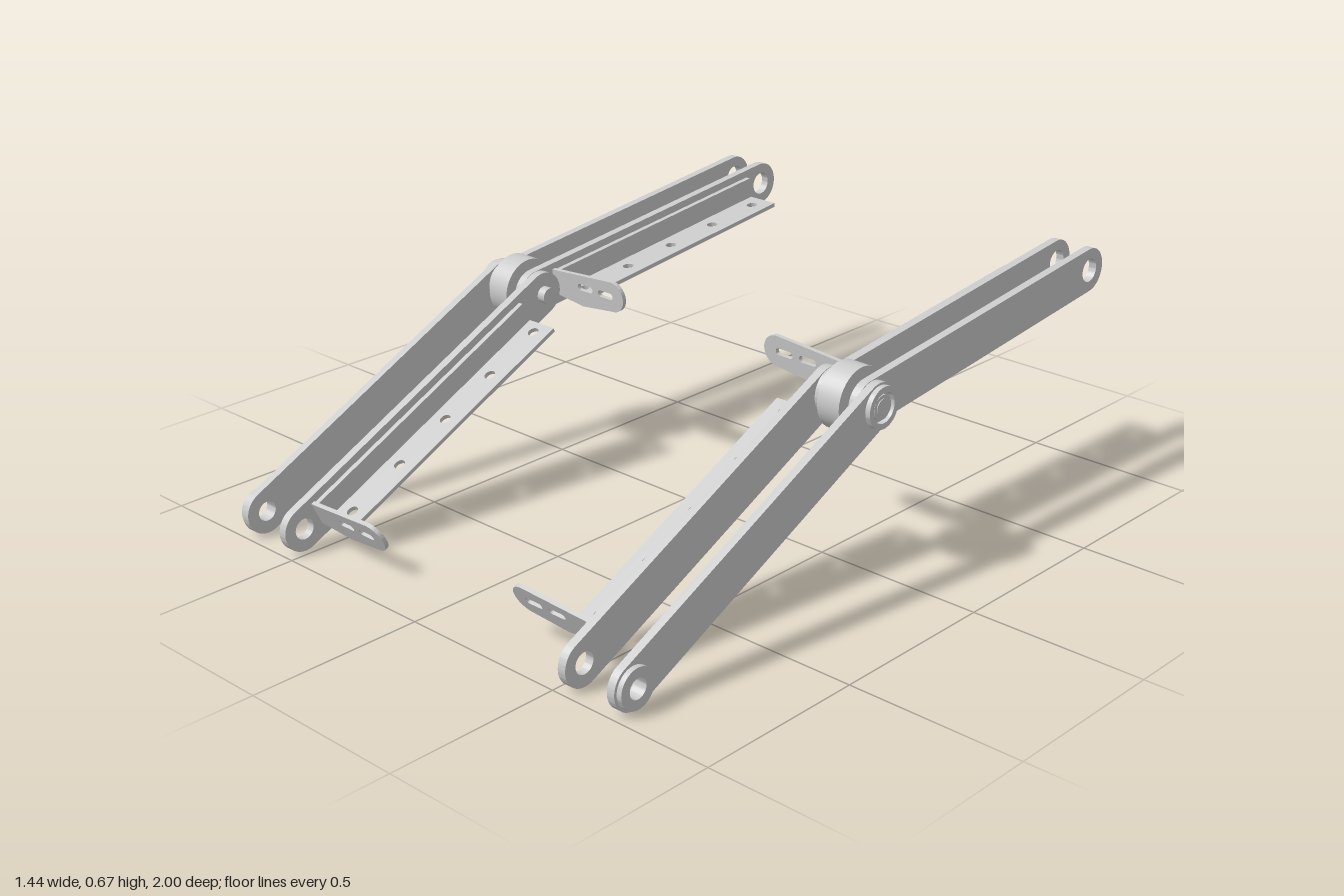
import * as THREE from 'three';
import { toCreasedNormals } from 'three/addons/utils/BufferGeometryUtils.js';

const material = new THREE.MeshStandardMaterial({ color: 0xcccccc });
const KNEE = { y: 0.495, z: 0.04 };
const BAR_R = 0.064;

function add(parent, name, geometry) {
  const mesh = new THREE.Mesh(geometry, material);
  mesh.name = name;
  parent.add(mesh);
  return mesh;
}

function extrude(shape, depth) {
  const g = new THREE.ExtrudeGeometry(shape, { depth, bevelEnabled: false, curveSegments: 20 });
  return toCreasedNormals(g, 0.6);
}

// Shape with two round ends, lying along the first axis
function capsule(a, b, r, y = 0, Type = THREE.Shape) {
  const s = new Type();
  s.absarc(b, y, r, -Math.PI / 2, Math.PI / 2);
  s.absarc(a, y, r, Math.PI / 2, Math.PI * 1.5);
  s.closePath();
  return s;
}

function circle(x, y, r, Type = THREE.Path) {
  const c = new Type();
  c.absarc(x, y, r, 0, Math.PI * 2);
  return c;
}

function rectangle(a, b, c, d) {
  return new THREE.Shape([[a, c], [b, c], [b, d], [a, d]].map(p => new THREE.Vector2(...p)));
}

// Arm frame: local x runs forward along the bar, y is up across it, z is world -x
function makeArm(leg, name, dz, dy) {
  const arm = new THREE.Group();
  arm.name = name;
  arm.position.set(0, KNEE.y, KNEE.z);
  arm.rotation.set(0, -Math.PI / 2, Math.atan2(dy, dz), 'YXZ');
  leg.add(arm);
  return arm;
}

function makeLeg(side) {
  const leg = new THREE.Group();
  leg.name = side > 0 ? 'leftLeg' : 'rightLeg';

  // Side-facing slab between two distances from the centre plane
  const slab = (arm, name, shape, inner, outer) => {
    const mesh = add(arm, name, extrude(shape, outer - inner));
    mesh.position.z = side > 0 ? -outer : inner;
  };

  // Bar from the knee to its far end, with an optional pin hole there
  const bar = (arm, name, end, inner, outer, hole) => {
    const shape = capsule(Math.min(0, end), Math.max(0, end), BAR_R);
    shape.holes.push(circle(end, 0, hole));
    slab(arm, name, shape, inner, outer);
  };

  const ring = (arm, name, s, r, hole, inner, outer) => {
    const shape = circle(s, 0, r, THREE.Shape);
    shape.holes.push(circle(s, 0, hole));
    slab(arm, name, shape, inner, outer);
  };

  // Angle bracket: upright flange, perforated ledge and a slotted end tab
  const bracket = (arm, root, start, end, firstHole, pitch) => {
    slab(arm, 'bracketFlange', rectangle(start, end, -0.032, 0.042), root - 0.015, root);

    const ledge = rectangle(start, end, side * root, side * (root - 0.112));
    for (let i = 0; i < 5; i++) {
      ledge.holes.push(circle(firstHole + i * pitch, side * (root - 0.062), 0.016));
    }
    const plate = extrude(ledge, 0.012);
    plate.rotateX(-Math.PI / 2);
    add(arm, 'bracketLedge', plate).position.y = -0.032;

    const c = root - 0.237;
    const x = u => side * u;
    const tab = new THREE.Shape();
    tab.moveTo(x(root), 0.046);
    tab.lineTo(x(root), -0.028);
    tab.lineTo(x(c + 0.12), -0.042);
    tab.lineTo(x(c), -0.028);
    tab.absarc(x(c), 0.018, 0.046, -Math.PI / 2, Math.PI / 2, side > 0);
    tab.closePath();
    for (const [a, b] of [[0.005, 0.043], [0.086, 0.124]]) {
      const [p, q] = [x(c + a), x(c + b)].sort((m, n) => m - n);
      tab.holes.push(capsule(p, q, 0.01, 0.018, THREE.Path));
    }
    const tabGeometry = extrude(tab, 0.012);
    tabGeometry.rotateY(Math.PI / 2);
    add(arm, 'slottedTab', tabGeometry).position.x = end - 0.002;
  };

  // Lower arm, sloping down to the front
  const lower = makeArm(leg, 'lowerArm', 0.896, -0.431);
  const reach = Math.hypot(0.896, 0.431);
  bar(lower, 'lowerInnerBar', reach, 0.523, 0.548, 0.03);
  bar(lower, 'lowerOuterBar', reach, 0.686, 0.71, 0.028);
  ring(lower, 'footBoss', reach, 0.056, 0.028, 0.708, 0.725);
  ring(lower, 'kneeBoss', 0, 0.058, 0.042, 0.708, 0.725);
  const slip = side > 0 ? -0.025 : 0;
  bracket(lower, 0.523, 0.088 + slip, 0.932 + slip, 0.124 + slip, 0.188);

  // Upper arm, rising gently to the back
  const upper = makeArm(leg, 'upperArm', 0.976, -0.109);
  const back = -Math.hypot(0.976, 0.109);
  bar(upper, 'upperInnerBar', back, 0.55, 0.574, 0.034);
  bar(upper, 'upperOuterBar', back, 0.66, 0.684, 0.034);
  bracket(upper, 0.55, -0.917, -0.077, -0.867, 0.185);

  // Knee joint: roller, spacers and through pin
  const turned = (name, r, inner, outer) => {
    const g = new THREE.CylinderGeometry(r, r, outer - inner, 40);
    g.rotateZ(Math.PI / 2);
    add(leg, name, g).position.set(side * (inner + outer) / 2, KNEE.y, KNEE.z);
  };
  turned('kneeRoller', 0.092, 0.581, 0.652);
  turned('kneeSpacer', 0.045, 0.573, 0.661);
  turned('kneePin', 0.024, 0.497, 0.722);
  turned('kneePinHead', 0.034, 0.7, 0.72);

  leg.position.x = side > 0 ? -0.006 : 0;
  return leg;
}

export function createModel() {
  const model = new THREE.Group();
  model.name = 'foldingLegPair';
  for (const side of [-1, 1]) model.add(makeLeg(side));
  model.children.forEach(leg => { leg.position.x += 0.003; });
  return model;
}
